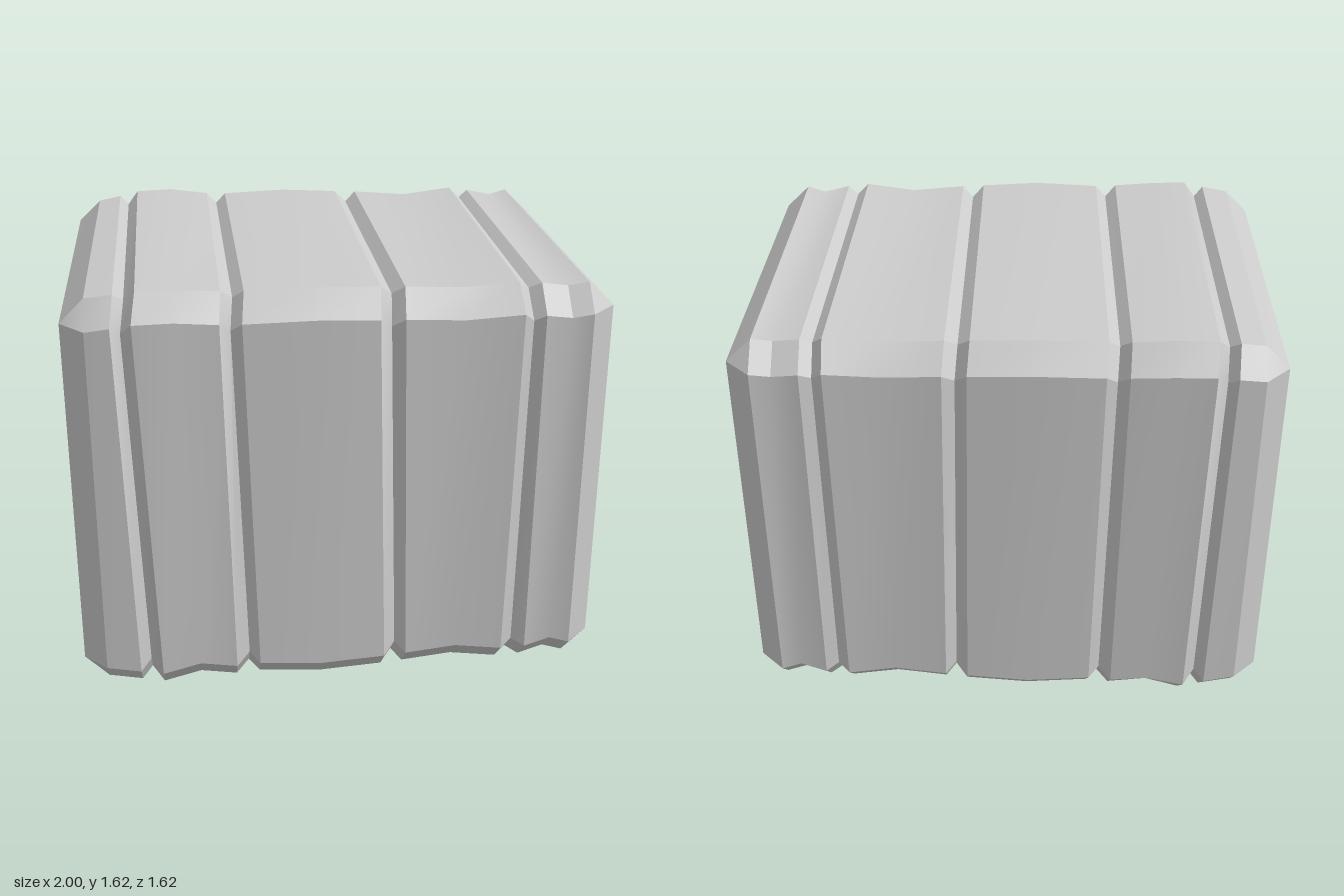
import * as THREE from 'three';
import { toCreasedNormals } from 'three/addons/utils/BufferGeometryUtils.js';

const MID = 0.81;      // height of the block's long axis
const CHAMFER = 0.093; // width of the bevel along the long edges
const CAP = 0.688;     // half size of the square ends

// Stations along the block: x and half size near the top, x and half size near the bottom.
// The grooves lean a little, so the two differ.
const stations = [
  [-0.91, 0.775, -0.91, 0.78],
  [-0.82, 0.79, -0.78, 0.795],
  [-0.785, 0.76, -0.74, 0.76],
  [-0.745, 0.805, -0.695, 0.805],
  [-0.6, 0.81, -0.55, 0.782],
  [-0.44, 0.792, -0.41, 0.795],
  [-0.4, 0.757, -0.36, 0.757],
  [-0.36, 0.79, -0.32, 0.79],
  [-0.1, 0.798, -0.08, 0.8],
  [0.13, 0.788, 0.165, 0.79],
  [0.175, 0.75, 0.21, 0.75],
  [0.22, 0.785, 0.25, 0.785],
  [0.44, 0.77, 0.45, 0.772],
  [0.65, 0.79, 0.63, 0.787],
  [0.69, 0.755, 0.675, 0.76],
  [0.73, 0.78, 0.725, 0.785],
  [0.83, 0.762, 0.83, 0.765],
  [0.905, 0.778, 0.905, 0.78],
];

// Octagon corners as [y sign, z sign, lies on top or bottom face, lean].
const corners = [
  [1, 1, true, 0.3], [1, 1, false, 0], [-1, 1, false, 1], [-1, 1, true, 1],
  [-1, -1, true, 1], [-1, -1, false, 0.8], [1, -1, false, 0.2], [1, -1, true, 0],
];

function octagonRing([xTop, rTop, xBottom, rBottom]) {
  return corners.map(([sy, sz, onCap, lean]) => {
    const r = THREE.MathUtils.lerp(rTop, rBottom, lean);
    const c = r - CHAMFER;
    return new THREE.Vector3(
      THREE.MathUtils.lerp(xTop, xBottom, lean),
      MID + sy * (onCap ? r : c),
      sz * (onCap ? c : r),
    );
  });
}

// Square end: each pair of octagon corners meets in one point.
function squareRing(x) {
  return corners.map(([sy, sz]) => new THREE.Vector3(x, MID + sy * CAP, sz * CAP));
}

function blockGeometry() {
  const rings = [squareRing(-1), ...stations.map(octagonRing), squareRing(1)];
  const positions = [];
  const triangle = (a, b, c) => {
    if (a.equals(b) || b.equals(c) || a.equals(c)) return;
    for (const p of [a, b, c]) positions.push(p.x, p.y, p.z);
  };
  // Sides and end bevels
  for (let i = 0; i < rings.length - 1; i++) {
    for (let k = 0; k < 8; k++) {
      const n = (k + 1) % 8;
      triangle(rings[i][k], rings[i][n], rings[i + 1][k]);
      triangle(rings[i][n], rings[i + 1][n], rings[i + 1][k]);
    }
  }
  // Flat ends
  const first = rings[0];
  const last = rings[rings.length - 1];
  for (let k = 1; k < 7; k++) {
    triangle(last[0], last[k], last[k + 1]);
    triangle(first[0], first[k + 1], first[k]);
  }
  const geometry = new THREE.BufferGeometry();
  geometry.setAttribute('position', new THREE.Float32BufferAttribute(positions, 3));
  return toCreasedNormals(geometry, 0.5);
}

export function createModel() {
  const group = new THREE.Group();
  group.name = 'groovedBlock';
  const block = new THREE.Mesh(
    blockGeometry(),
    new THREE.MeshStandardMaterial({ color: 0xcccccc }),
  );
  block.name = 'block';
  group.add(block);
  return group;
}
